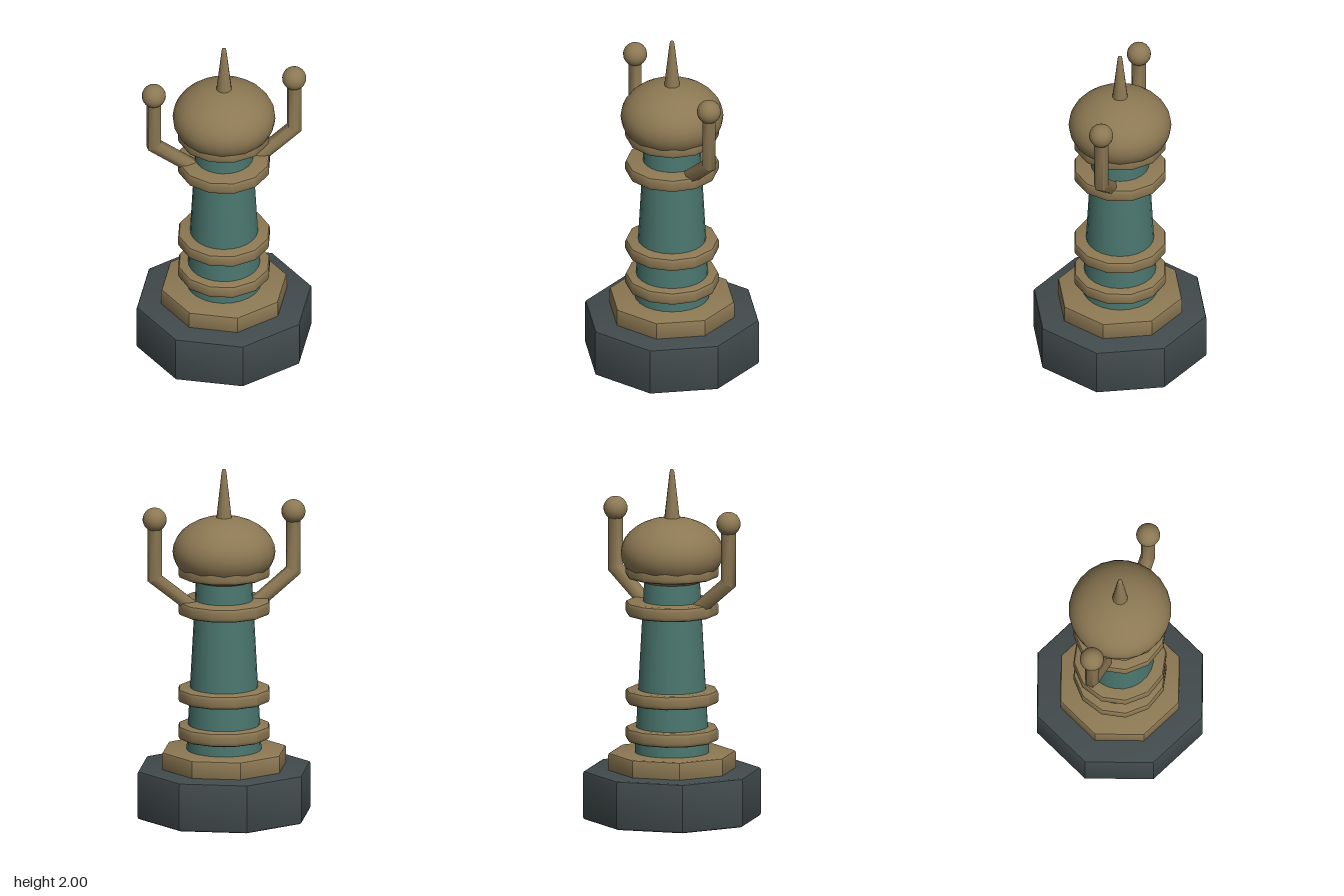
import * as THREE from 'three';
import { toCreasedNormals } from 'three/addons/utils/BufferGeometryUtils.js';

const material = (name, color) => {
  const m = new THREE.MeshStandardMaterial({ color });
  m.name = name;
  return m;
};

// Crease at an enlarged scale so that small bevels keep distinct corners.
function crease(geometry, angle) {
  return toCreasedNormals(geometry.scale(100, 100, 100), angle).scale(0.01, 0.01, 0.01);
}

// Turned solid with its profile given from bottom to top.
function turned(profile, sides, angle = 0.6) {
  const points = profile.map(([r, y]) => new THREE.Vector2(r, y));
  return crease(new THREE.LatheGeometry(points, sides), angle);
}

// Prism with bevelled rims.
function bevelledDisc(r, y0, y1, b, sides) {
  return turned([
    [0, y0], [r - b, y0], [r - b * 0.3, y0 + b * 0.3], [r, y0 + b],
    [r, y1 - b], [r - b * 0.3, y1 - b * 0.3], [r - b, y1], [0, y1],
  ], sides);
}

// Six-sided bent bar with a mitred elbow, swept through stations in the xy plane.
function bentBar(path, radius) {
  const sides = 6, positions = [], index = [];
  path.forEach(([x, y], i) => {
    const dir = (a, b) => new THREE.Vector2(b[0] - a[0], b[1] - a[1]).normalize();
    const before = dir(path[Math.max(i - 1, 0)], path[Math.max(i, 1)]);
    const last = path.length - 1;
    const after = dir(path[Math.min(i, last - 1)], path[Math.min(i + 1, last)]);
    const t = before.clone().add(after).normalize();
    const stretch = 1 / t.dot(before);
    for (let s = 0; s < sides; s++) {
      const a = (s / sides) * Math.PI * 2;
      const w = Math.sin(a) * radius * stretch;
      positions.push(x + t.y * w, y - t.x * w, Math.cos(a) * radius);
    }
  });
  for (let i = 0; i < path.length - 1; i++) {
    for (let s = 0; s < sides; s++) {
      const a = i * sides + s, b = i * sides + (s + 1) % sides;
      index.push(a, b, b + sides, a, b + sides, a + sides);
    }
  }
  const g = new THREE.BufferGeometry();
  g.setAttribute('position', new THREE.Float32BufferAttribute(positions, 3));
  g.setIndex(index);
  return crease(g, 1.1);
}

export function createModel() {
  const bronze = material('bronze', 0x8c7853);
  const verdigris = material('verdigris', 0x4a766e);
  const slate = material('slate', 0x414a4c);

  const model = new THREE.Group();
  model.name = 'pylon';
  const add = (name, geometry, mat, parent = model) => {
    const mesh = new THREE.Mesh(geometry, mat);
    mesh.name = name;
    parent.add(mesh);
    return mesh;
  };

  // Octagonal base and plinth
  add('base', bevelledDisc(0.505, 0, 0.28, 0.015, 8), slate);
  add('plinth', bevelledDisc(0.362, 0.27, 0.38, 0.012, 8), bronze);

  // Tapered column
  add('column', turned([[0, 0.37], [0.212, 0.37], [0.156, 1.4], [0, 1.4]], 24), verdigris);

  // Collars around the column
  for (const y of [0.485, 0.7, 1.205, 1.42]) {
    add('collar', bevelledDisc(0.265, y - 0.04, y + 0.04, 0.02, 12), bronze);
  }

  // Flattened dome
  const dome = add('dome', new THREE.SphereGeometry(0.29, 24, 16), bronze);
  dome.scale.y = 0.2 / 0.29;
  dome.position.y = 1.522;

  // Spike with a rounded tip
  add('spike', turned([
    [0, 1.69], [0.047, 1.69], [0.014, 1.98], [0.011, 1.993], [0.006, 1.998], [0, 2],
  ], 12, 0.9), bronze);

  // Two bent arms, each ending in a ball
  const barGeometry = bentBar([[0.145, 1.18], [0.405, 1.39], [0.405, 1.72]], 0.0425);
  const ballGeometry = new THREE.SphereGeometry(0.068, 20, 14);
  for (const [name, turn] of [['leftArm', 0], ['rightArm', Math.PI]]) {
    const arm = new THREE.Group();
    arm.name = name;
    add('bar', barGeometry, bronze, arm);
    add('ball', ballGeometry, bronze, arm).position.set(0.405, 1.73, 0);
    arm.rotation.y = turn;
    model.add(arm);
  }

  return model;
}
